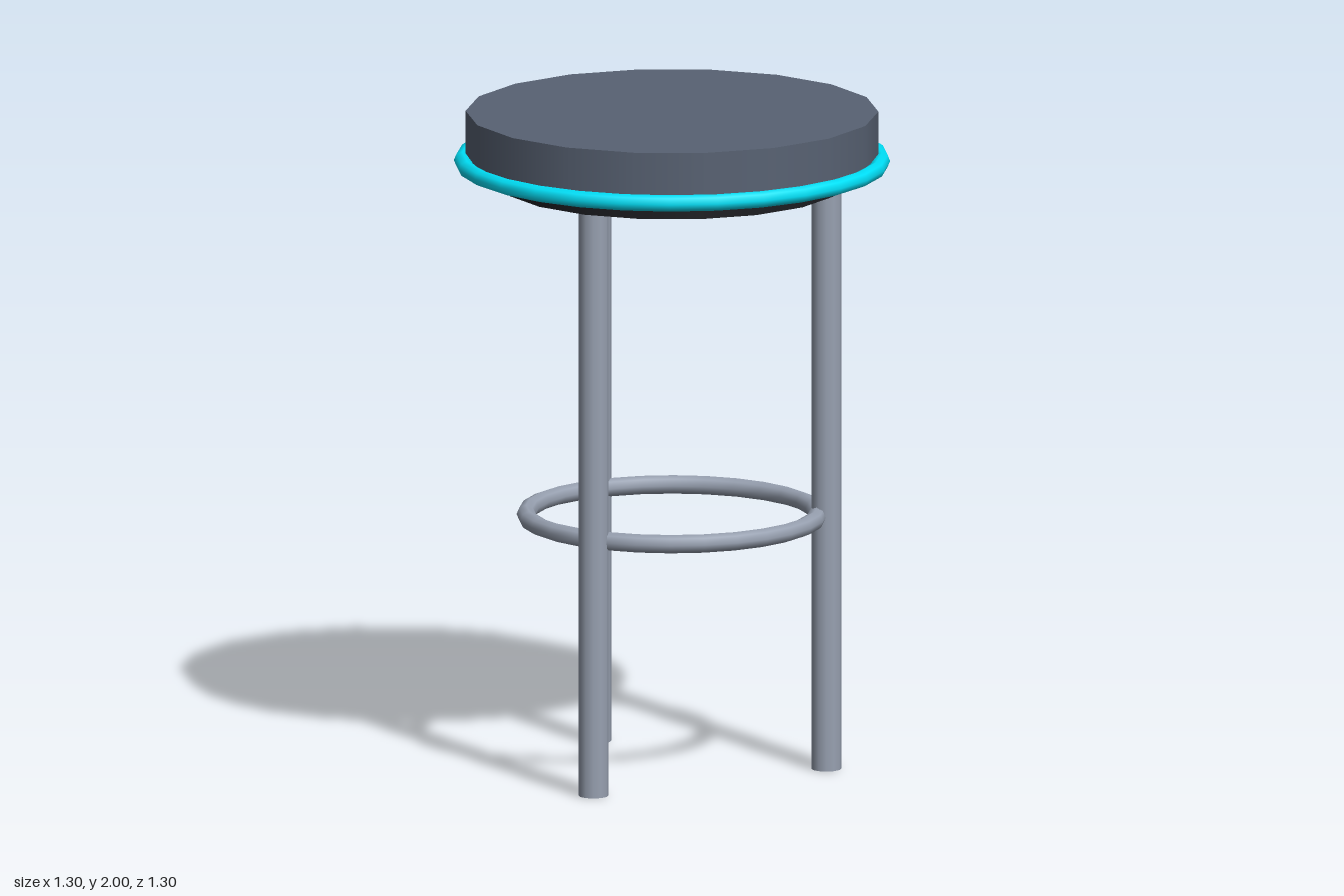
import * as THREE from 'three';

export function createModel() {
  const stool = new THREE.Group();
  stool.name = 'barStool';

  const cushionMat = new THREE.MeshStandardMaterial({ color: 0x586273 });
  const trimMat = new THREE.MeshStandardMaterial({ color: 0x00e0f8 });
  const plateMat = new THREE.MeshStandardMaterial({ color: 0x1b1c20 });
  const metalMat = new THREE.MeshStandardMaterial({ color: 0x98a1b1 });

  function add(name, geometry, material, x, y, z) {
    const mesh = new THREE.Mesh(geometry, material);
    mesh.name = name;
    mesh.position.set(x, y, z);
    stool.add(mesh);
    return mesh;
  }

  // Upright cylinder between two heights, with a corner on the x axis
  function disc(name, radius, bottom, top, sides, material, x = 0, z = 0) {
    const geometry = new THREE.CylinderGeometry(radius, radius, top - bottom, sides);
    geometry.rotateY(Math.PI / 2);
    return add(name, geometry, material, x, (bottom + top) / 2, z);
  }

  // Horizontal ring
  function ring(name, radius, tube, y, material) {
    const geometry = new THREE.TorusGeometry(radius, tube, 8, 28);
    geometry.rotateX(Math.PI / 2);
    return add(name, geometry, material, 0, y, 0);
  }

  // Seat
  disc('seatCushion', 0.615, 1.83, 2, 18, cushionMat);
  ring('seatTrim', 0.625, 0.025, 1.85, trimMat);
  disc('seatPlate', 0.512, 1.777, 1.835, 18, plateMat);

  // Three legs, evenly spaced
  for (let i = 0; i < 3; i++) {
    const a = (i * Math.PI * 2) / 3;
    disc('leg' + (i + 1), 0.045, 0, 1.79, 12, metalMat, 0.46 * Math.cos(a), 0.46 * Math.sin(a));
  }

  // Foot rest
  ring('footRing', 0.435, 0.028, 0.773, metalMat);

  return stool;
}
